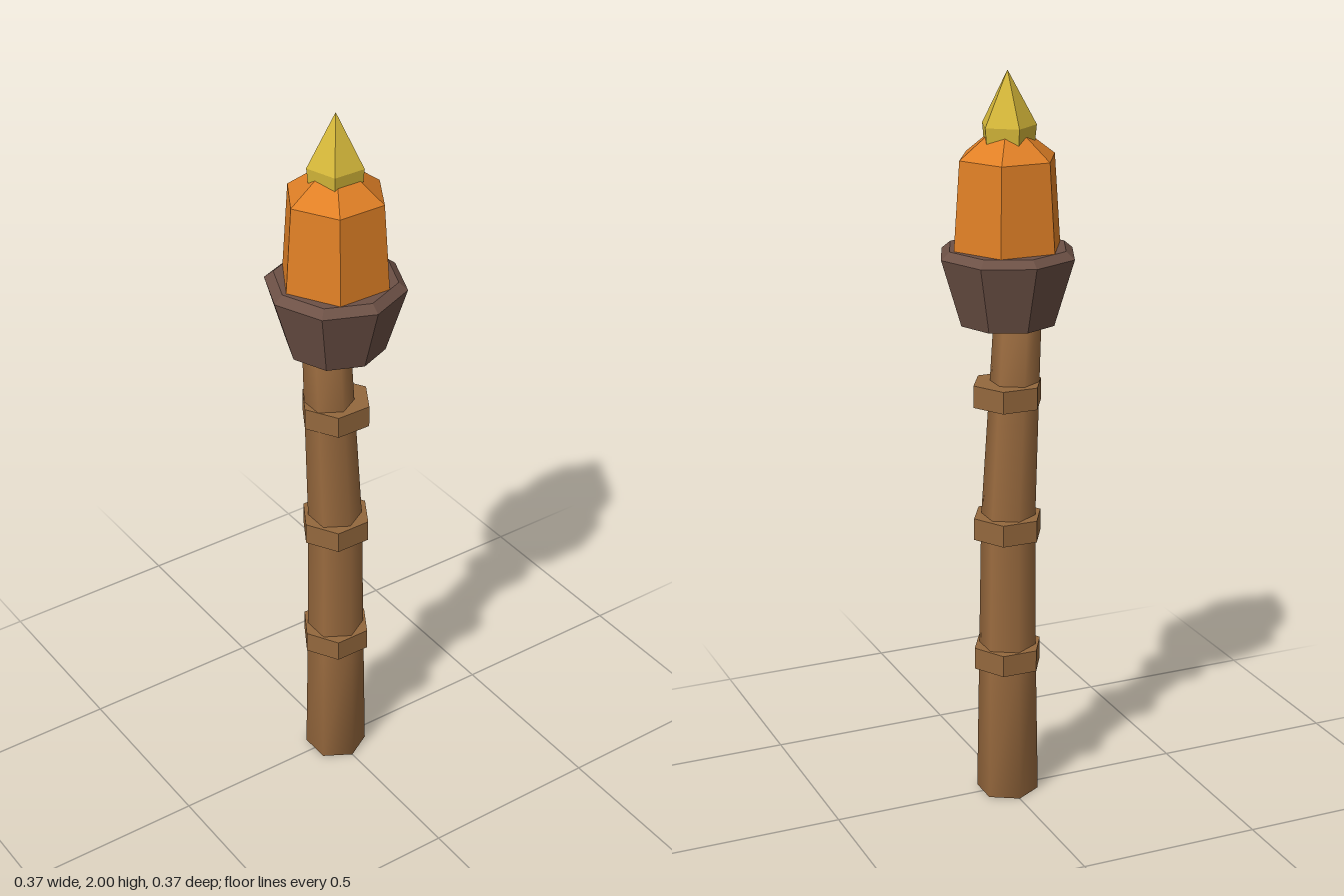
import * as THREE from 'three';
import { mergeVertices } from 'three/addons/utils/BufferGeometryUtils.js';

const material = (name, color, flatShading = true) => {
  const m = new THREE.MeshStandardMaterial({ color, flatShading });
  m.name = name;
  return m;
};

// Solid of stacked regular polygons; rings are [radius, y], bottom to top
function faceted(name, rings, sides, startAngle, mat) {
  const points = rings.map(([r, y]) => new THREE.Vector2(r, y));
  const mesh = new THREE.Mesh(new THREE.LatheGeometry(points, sides, startAngle), mat);
  mesh.name = name;
  return mesh;
}

// Smooth six-sided handle whose rings [y, radius, x offset] taper and lean
function handleGeometry(rings) {
  const geo = new THREE.CylinderGeometry(1, 1, 1, 6, rings.length - 1);
  const pos = geo.attributes.position;
  for (let i = 0; i < pos.count; i++) {
    const k = Math.round((pos.getY(i) + 0.5) * (rings.length - 1));
    const [y, r, dx] = rings[k];
    pos.setXYZ(i, pos.getX(i) * r + dx, y, pos.getZ(i) * r);
  }
  // Weld the caps to the sides so the shading rolls over the ends
  geo.deleteAttribute('normal');
  geo.deleteAttribute('uv');
  const welded = mergeVertices(geo, 1e-4);
  welded.computeVertexNormals();
  return welded;
}

export function createModel() {
  const group = new THREE.Group();
  group.name = 'torch';

  const wood = material('wood', 0x9a6b3f, false);
  const bandWood = material('band wood', 0x94683d);
  const darkWood = material('dark cup', 0x6d5146);
  const orange = material('orange flame', 0xe08026);
  const yellow = material('yellow flame', 0xd6b83a);

  // Handle
  const handle = new THREE.Mesh(handleGeometry([
    [0, 0.085, 0], [0.4, 0.078, 0], [0.8, 0.073, -0.002], [1.17, 0.066, -0.02], [1.4, 0.062, -0.031],
  ]), wood);
  handle.name = 'handle';
  group.add(handle);

  // Grip bands
  for (const y of [0.405, 0.78, 1.15]) {
    group.add(faceted('gripBand', [[0, y - 0.03], [0.097, y - 0.03], [0.097, y + 0.03], [0, y + 0.03]],
      6, Math.PI / 6, bandWood));
  }

  // Cup with bevelled rim
  group.add(faceted('cup', [[0, 1.345], [0.13, 1.345], [0.185, 1.525], [0.161, 1.545], [0, 1.545]],
    8, 0, darkWood));

  // Flame body and pointed tip
  group.add(faceted('flame', [[0, 1.54], [0.15, 1.54], [0.133, 1.778], [0, 1.88]], 6, Math.PI / 6, orange));
  group.add(faceted('flameTip', [[0, 1.79], [0.068, 1.79], [0.075, 1.86], [0, 2]], 5, Math.PI, yellow));

  return group;
}
